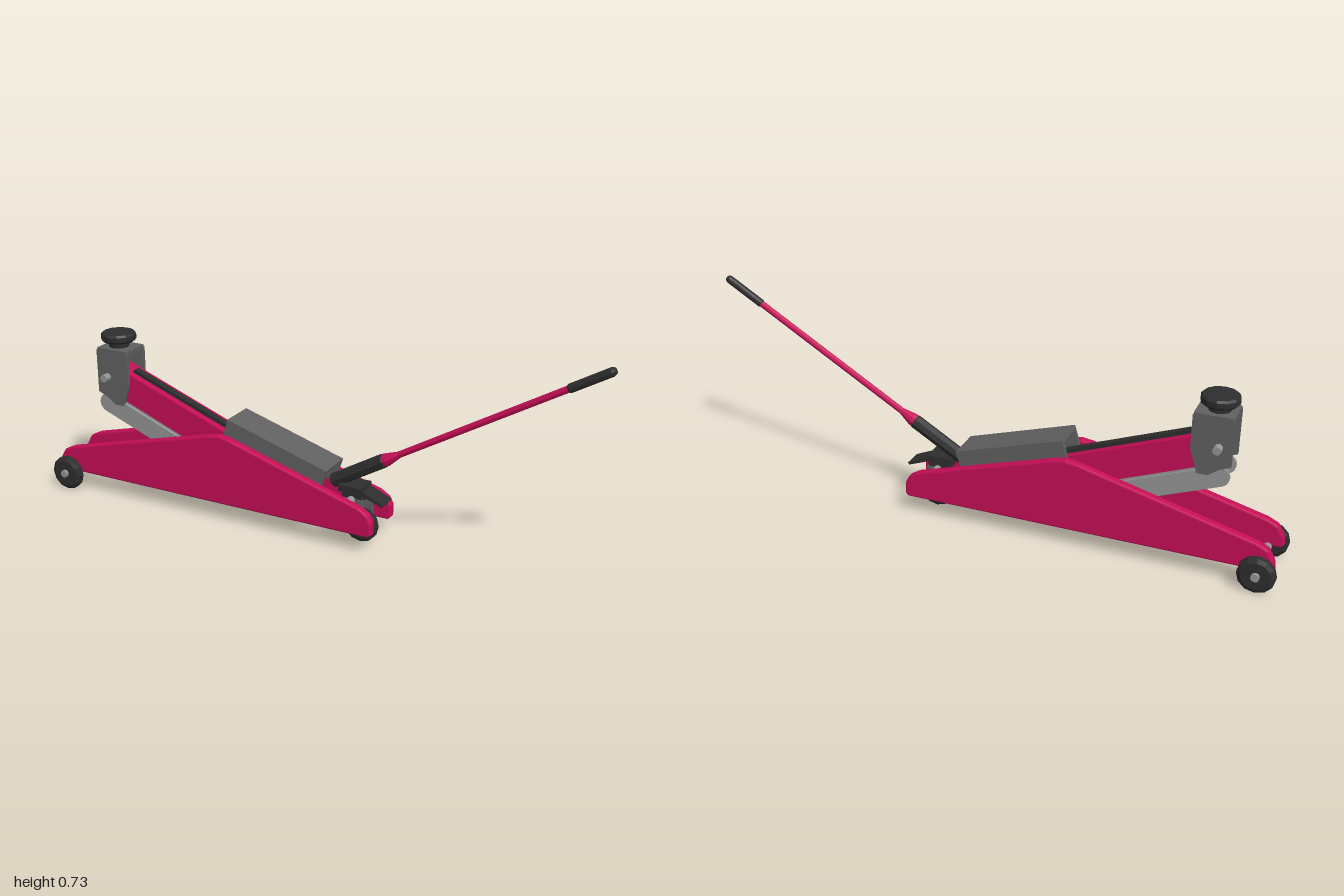
import * as THREE from 'three';

const mat = (name, color) => {
  const m = new THREE.MeshStandardMaterial({ color, flatShading: true });
  m.name = name;
  return m;
};

export function createModel() {
  const model = new THREE.Group();
  model.name = 'floorJack';
  const paint = mat('crimsonPaint', 0xc60e57);
  const black = mat('blackRubber', 0x2e2e2e);
  const steel = mat('greySteel', 0x616161);
  const bright = mat('brightSteel', 0x969696);

  const add = (name, geometry, material, parent = model) => {
    const mesh = new THREE.Mesh(geometry, material);
    mesh.name = name;
    parent.add(mesh);
    return mesh;
  };
  // Side profile in x/y, extruded between two z values
  const plate = (name, pts, z0, z1, material, bevel = 0, parent = model) => {
    const shape = pts instanceof THREE.Shape ? pts : new THREE.Shape(pts.map(p => new THREE.Vector2(...p)));
    const g = new THREE.ExtrudeGeometry(shape, {
      depth: z1 - z0 - 2 * bevel, bevelEnabled: bevel > 0, bevelSize: bevel,
      bevelThickness: bevel, bevelOffset: -bevel, bevelSegments: 2, curveSegments: 6,
    });
    g.translate(0, 0, z0 + bevel);
    return add(name, g, material, parent);
  };
  // Stadium outline between two points
  const slot = (x0, y0, x1, y1, r) => {
    const a = Math.atan2(y1 - y0, x1 - x0);
    const s = new THREE.Shape();
    s.absarc(x0, y0, r, a + Math.PI / 2, a + Math.PI * 1.5, false);
    s.absarc(x1, y1, r, a - Math.PI / 2, a + Math.PI / 2, false);
    return s;
  };
  // Cross shaft centred on z = 0
  const shaft = (name, x, y, r, half, material = bright) => {
    const g = new THREE.CylinderGeometry(r, r, half * 2, 10);
    g.rotateX(Math.PI / 2);
    add(name, g, material).position.set(x, y, 0);
  };
  // Chamfered wheel
  const wheel = (name, x, z, r, w) => {
    const h = w / 2;
    const pts = [[0, -h], [r * 0.78, -h], [r, -h * 0.5], [r, h * 0.5], [r * 0.78, h], [0, h]];
    const g = new THREE.LatheGeometry(pts.map(p => new THREE.Vector2(...p)), 12);
    g.rotateX(Math.PI / 2);
    add(name, g, black).position.set(x, r, z);
  };

  // Frame side plates
  const frame = [
    [-0.98, 0.065], [0.262, 0.065], [0.272, 0.075], [0.272, 0.115], [0.258, 0.142], [0.225, 0.162],
    [-0.265, 0.31], [-0.3, 0.316], [-0.34, 0.31], [-0.93, 0.157], [-0.965, 0.14], [-0.985, 0.105], [-0.99, 0.075],
  ];
  for (const s of [1, -1]) {
    const side = s > 0 ? 'left' : 'right';
    const span = (a, b) => (s > 0 ? [a, b] : [-b, -a]);
    plate(side + 'FramePlate', frame, ...span(0.063, 0.095), paint, 0.006);
    wheel(side + 'FrontWheel', -0.94, s * 0.112, 0.062, 0.033);
    // Parallel link under the lift arm
    plate(side + 'Link', slot(-0.785, 0.34, -0.3, 0.152, 0.034), ...span(0.041, 0.051), bright);
    // Saddle bracket cheek
    plate(side + 'BracketCheek', [
      [-0.82, 0.38], [-0.785, 0.365], [-0.75, 0.34], [-0.715, 0.34], [-0.708, 0.365],
      [-0.69, 0.42], [-0.69, 0.535], [-0.697, 0.543], [-0.813, 0.543], [-0.82, 0.535],
    ], ...span(0.043, 0.054), steel);
    // Rear wheel fork
    plate(side + 'Fork', [
      [0.175, 0.04], [0.215, 0.04], [0.228, 0.06], [0.215, 0.165], [0.15, 0.165], [0.16, 0.06],
    ], ...span(0.028, 0.038), steel);
  }
  shaft('frontAxle', -0.94, 0.064, 0.014, 0.14);
  shaft('rearAxle', 0.195, 0.064, 0.013, 0.062);
  shaft('forkPivot', 0.175, 0.16, 0.014, 0.065);
  shaft('linkPivot', -0.3, 0.152, 0.014, 0.065);
  shaft('armPivot', -0.12, 0.18, 0.014, 0.065);
  shaft('saddlePin', -0.777, 0.44, 0.014, 0.08);
  wheel('rearWheel', 0.195, 0, 0.062, 0.026);

  // Lift arm with a dark rib on its top edge
  plate('liftArm', [
    [-0.745, 0.475], [-0.76, 0.41], [-0.74, 0.365], [-0.14, 0.132], [-0.08, 0.135], [-0.07, 0.2], [-0.12, 0.24],
  ], -0.04, 0.04, paint);
  plate('armRib', [[-0.7, 0.455], [-0.27, 0.292], [-0.27, 0.31], [-0.69, 0.468]], -0.013, 0.013, black);

  // Saddle and bracket crown
  add('bracketCrown', new THREE.BoxGeometry(0.126, 0.012, 0.1), steel).position.set(-0.755, 0.537, 0);
  add('saddleNeck', new THREE.CylinderGeometry(0.036, 0.036, 0.03, 12), black).position.set(-0.76, 0.556, 0);
  const pad = [[0, 0.564], [0.056, 0.564], [0.062, 0.571], [0.062, 0.588], [0.056, 0.595], [0, 0.595]];
  add('saddlePad', new THREE.LatheGeometry(pad.map(p => new THREE.Vector2(...p)), 12), black).position.x = -0.76;

  // Inverted channel covering the hydraulic unit
  const cover = new THREE.Group();
  cover.name = 'cover';
  cover.position.set(-0.0925, 0.3125, 0);
  cover.rotation.z = -Math.atan2(0.115, 0.375);
  model.add(cover);
  add('coverTop', new THREE.BoxGeometry(0.392, 0.01, 0.126), steel, cover).position.y = -0.005;
  for (const s of [1, -1]) {
    add('coverWall', new THREE.BoxGeometry(0.392, 0.085, 0.01), steel, cover).position.set(0, -0.05, s * 0.058);
  }

  // Release pedal behind the socket
  add('pedalBlock', new THREE.BoxGeometry(0.085, 0.022, 0.08), black).position.set(0.17, 0.195, 0);
  plate('pedalPlate', [[0.13, 0.2], [0.2, 0.185], [0.285, 0.153], [0.29, 0.16], [0.21, 0.195], [0.135, 0.208]], -0.034, 0.034, black);
  add('pedalMount', new THREE.BoxGeometry(0.07, 0.035, 0.07), black).position.set(0.175, 0.172, 0);

  // Handle: turned parts along one slanted axis
  const handle = new THREE.Group();
  handle.name = 'handle';
  handle.position.set(0.092, 0.2, 0);
  handle.rotation.z = Math.atan2(0.527, 0.895) - Math.PI / 2;
  model.add(handle);
  const turned = (name, pts, material, sides) =>
    add(name, new THREE.LatheGeometry(pts.map(p => new THREE.Vector2(...p)), sides), material, handle);
  turned('socket', [[0, 0], [0.024, 0], [0.024, 0.21], [0.02, 0.216], [0, 0.216]], black, 8);
  turned('rod', [[0, 0.18], [0.023, 0.2], [0.022, 0.222], [0.011, 0.27], [0.011, 0.9], [0, 0.9]], paint, 8);
  turned('grip', [[0, 0.885], [0.012, 0.885], [0.0145, 0.89], [0.0145, 1.028], [0.01, 1.038], [0, 1.038]], black, 10);

  return model;
}
